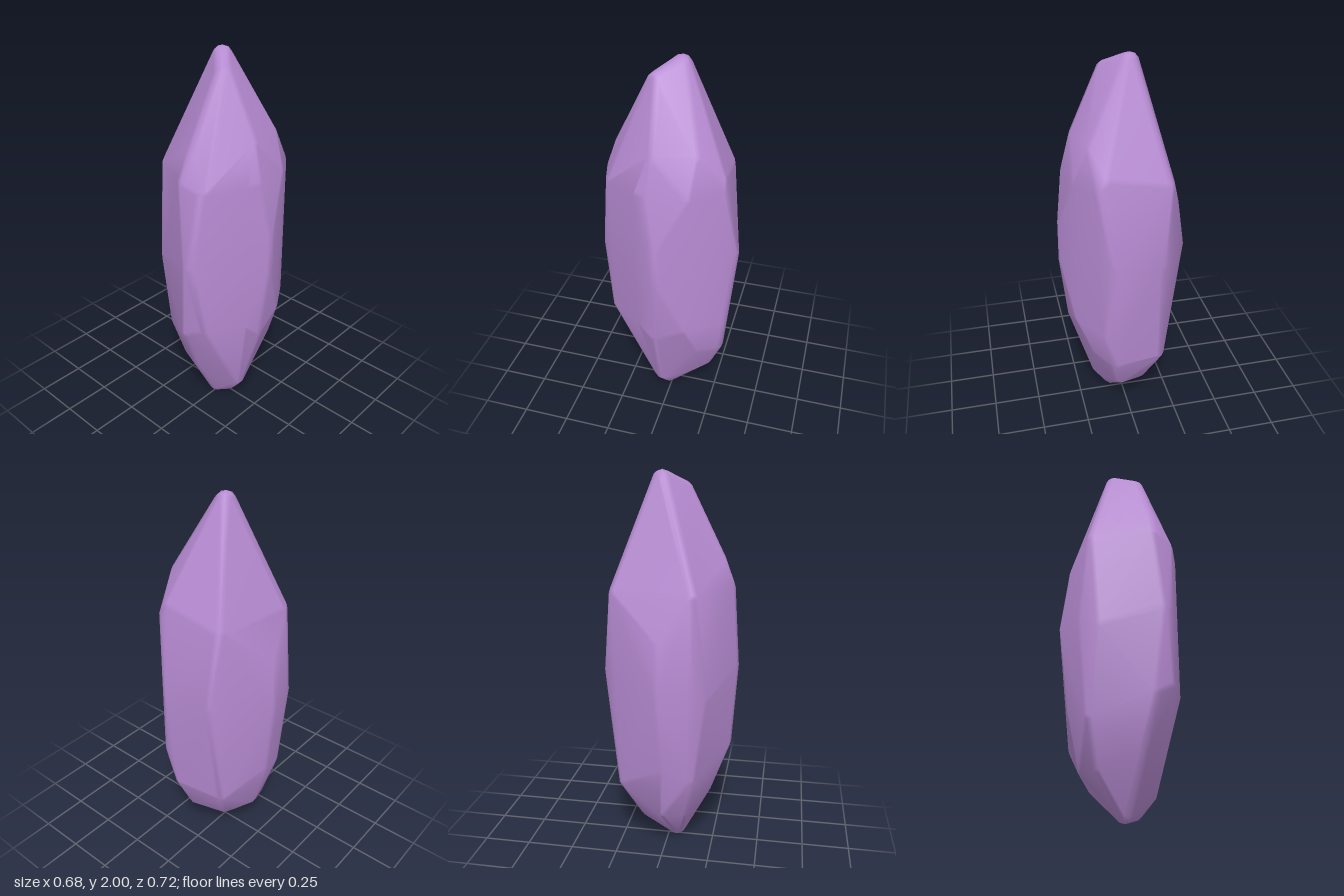
import * as THREE from 'three';
import { ConvexGeometry } from 'three/addons/geometries/ConvexGeometry.js';
import { mergeVertices } from 'three/addons/utils/BufferGeometryUtils.js';

const ROUND = 0.05; // radius of the worn corners

// Corners of the crystal, grouped by the ridge or facet they lie on
const ridges = {
  tip: [[-0.045, 1.995, -0.045], [0.09, 1.93, 0.085], [0.125, 1.87, 0.06]],
  front: [[0.06, 1.56, 0.285], [0.045, 1.43, 0.335], [0.09, 1.0, 0.36], [0.04, 0.57, 0.335], [0.01, 0.3, 0.235]],
  frontLeftFacet: [[0.142, 1.4, 0.31], [0.28, 1.42, 0.118], [0.28, 0.62, 0.118], [0.142, 0.62, 0.31]],
  left: [[0.255, 1.6, 0.05], [0.3, 1.42, 0.06], [0.335, 1.15, 0.01], [0.338, 0.92, 0.01], [0.298, 0.55, 0.03], [0.17, 0.13, 0.04]],
  backLeftFacet: [[0.2, 1.6, -0.17], [0.172, 1.42, -0.29], [0.27, 1.42, -0.145], [0.15, 0.62, -0.32], [0.28, 0.62, -0.13], [0.19, 0.42, -0.19], [0.13, 0.14, -0.07]],
  back: [[0.14, 1.48, -0.285], [0.1, 1.05, -0.36], [0.1, 0.4, -0.3], [0.06, 0.23, -0.235]],
  backRight: [[-0.19, 1.42, -0.265], [-0.215, 1.0, -0.25], [-0.15, 1.0, -0.31], [-0.17, 0.38, -0.24], [-0.1, 0.16, -0.13]],
  right: [[-0.305, 1.2, 0.0], [-0.34, 0.95, 0.0], [-0.29, 0.5, 0.02], [-0.22, 0.23, 0.0]],
  frontRight: [[-0.26, 1.42, 0.165], [-0.3, 0.95, 0.16], [-0.235, 0.9, 0.225], [-0.25, 0.45, 0.16], [-0.19, 0.22, 0.11]],
  foot: [[0.0, 0.005, 0.07], [0.09, 0.03, 0.02]],
};

// Convex stone with every corner rounded by a small ball
function roundedStone(corners, radius) {
  const ball = new THREE.IcosahedronGeometry(radius, 1);
  ball.deleteAttribute('normal');
  ball.deleteAttribute('uv');
  const dots = mergeVertices(ball, 1e-5).attributes.position;
  const points = [];
  for (const [x, y, z] of corners) {
    const outward = new THREE.Vector3(x / 0.12, y - 1, z / 0.13).normalize();
    const centre = new THREE.Vector3(x, y, z).addScaledVector(outward, -radius);
    for (let i = 0; i < dots.count; i++) {
      points.push(new THREE.Vector3().fromBufferAttribute(dots, i).add(centre));
    }
  }
  // Shared vertices give smooth shading over the worn edges
  const hull = new ConvexGeometry(points);
  hull.deleteAttribute('normal');
  const smooth = mergeVertices(hull, 1e-5);
  smooth.computeVertexNormals();
  return smooth;
}

export function createModel() {
  const group = new THREE.Group();
  group.name = 'crystal';
  const violet = new THREE.MeshStandardMaterial({ color: 0xb88cd4 });
  violet.name = 'violet';

  const shard = new THREE.Mesh(roundedStone(Object.values(ridges).flat(), ROUND), violet);
  shard.name = 'crystalShard';
  group.add(shard);
  return group;
}
